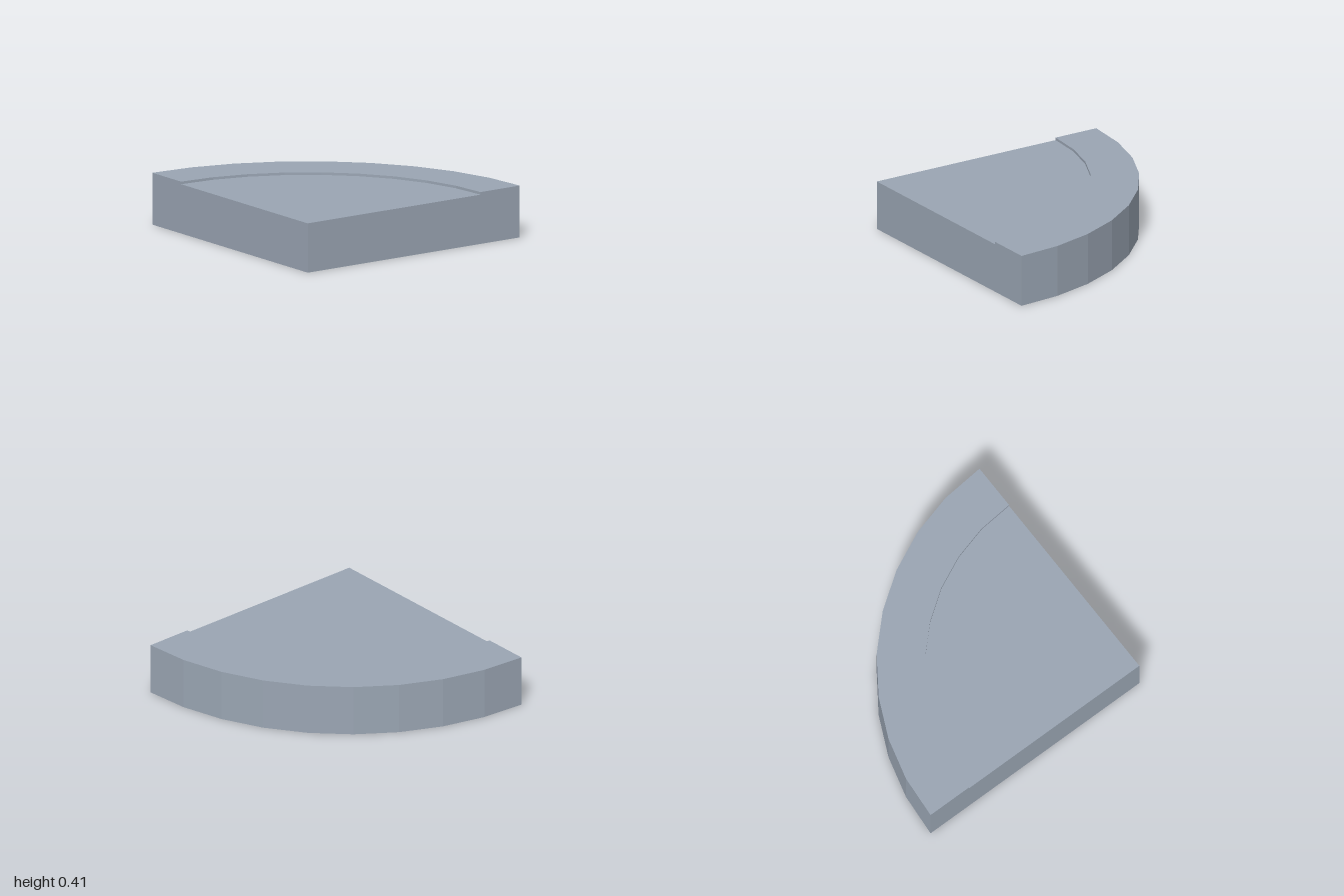
import * as THREE from 'three';

// Cross-section of the quarter disc as [radius, height]: flat deck with a raised outer rim
const PROFILE = [[0, 0], [2, 0], [2, 0.405], [1.63, 0.405], [1.63, 0.385], [0, 0.385]];

// Flat face with the outline of the cross-section, facing +z
function sectionFace(toX) {
  return new THREE.ShapeGeometry(
    new THREE.Shape(PROFILE.map(([r, y]) => new THREE.Vector2(toX(r), y)))
  );
}

export function createModel() {
  const group = new THREE.Group();
  group.name = 'quarterRoundPlatform';
  const grey = new THREE.MeshStandardMaterial({ color: 0x9aa5b3 });
  grey.name = 'blueGrey';

  const add = (name, geometry) => {
    const mesh = new THREE.Mesh(geometry, grey);
    mesh.name = name;
    group.add(mesh);
    return mesh;
  };

  // Bottom, faceted outer wall, rim and deck, swept a quarter turn in nine steps
  const sweep = new THREE.LatheGeometry(
    PROFILE.map(([r, y]) => new THREE.Vector2(r, y)), 9, Math.PI, Math.PI / 2
  ).toNonIndexed();
  sweep.computeVertexNormals();
  add('platformBody', sweep).position.set(1, 0, 1);

  // Straight walls closing the two cut sides
  add('frontWall', sectionFace((r) => 1 - r)).position.z = 1;
  add('sideWall', sectionFace((r) => r - 1).rotateY(Math.PI / 2)).position.x = 1;

  return group;
}
